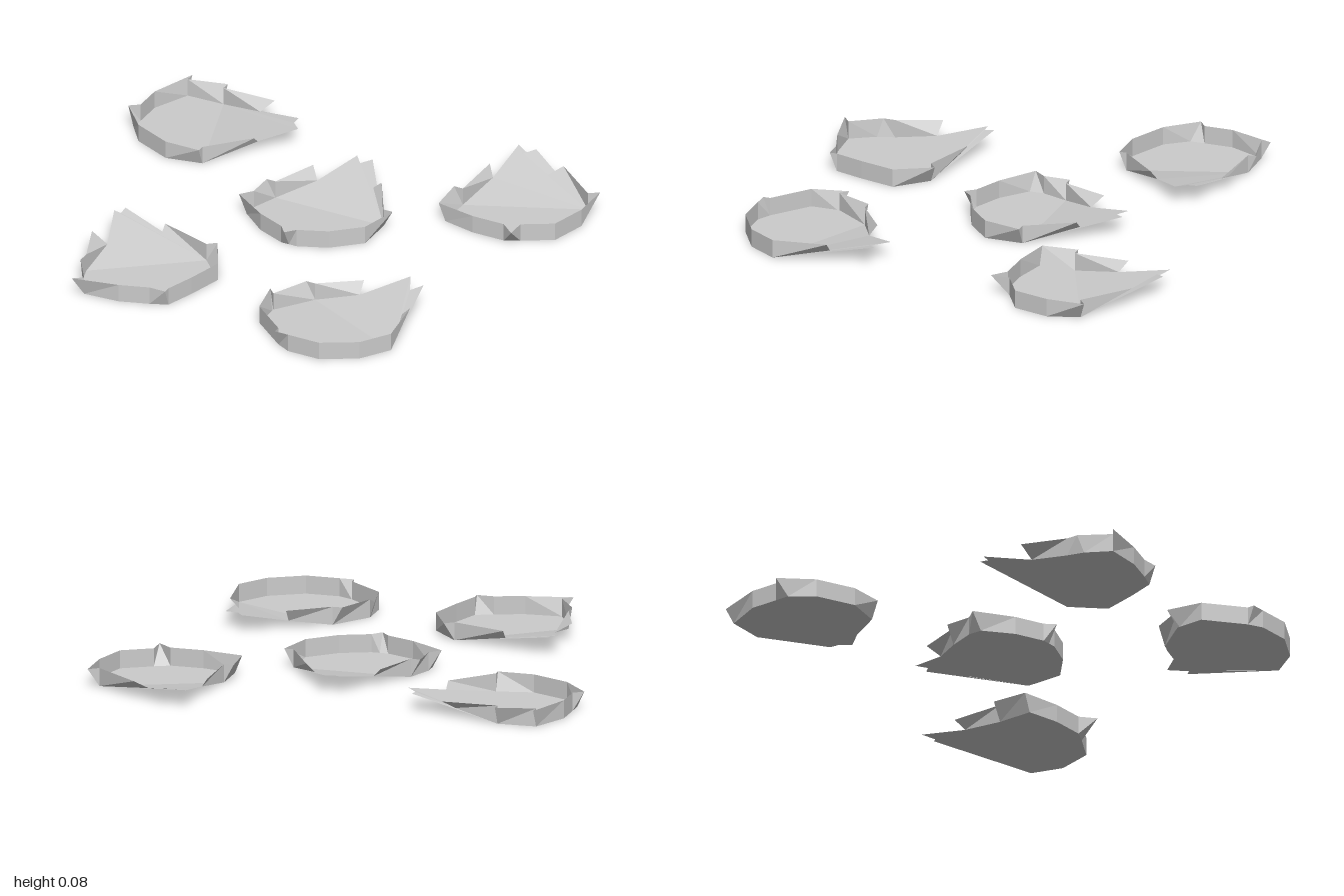
import * as THREE from 'three';

const RIM = 7.5; // rim height, in hundredths of a unit

// Outline points in hundredths, clockwise from above; the first is the floor's fan corner.
// [x, z]            floor corner with an upright wall
// [x, z, y]         corner where the floor has risen and no wall is left
// [x, z, y, tx, tz] floor corner whose wall leans out to a pointed tooth
const dishes = {
  centreDish: [
    [30, -18, 0, 34, -18], [30, -2], [19, 8], [7, 13], [3.5, 13, 0, 3.5, 17], [0, 13], [-12, 8],
    [-23, -1, 0, -27, -2], [-23, -7], [-19, -18, 0, -23, -18], [-19, -18],
    [-8, -33, 3.3, -12, -37], [-8, -33, 3.3], [0, -52, 7.5], [3, -48, 6.6], [7, -52, 7.5],
    [15, -37, 4], [15, -37, 4, 19, -37], [30, -18],
  ],
  frontRightDish: [
    [-19.5, 40, 0, -16, 37], [-8, 52], [-12, 67], [-16, 79], [-16, 79, 0, -16, 82], [-23, 82],
    [-35, 86], [-50, 87, 0, -54, 90], [-50, 87], [-56, 77, 0, -58, 75], [-58, 70],
    [-58, 52, 3.2, -65, 52], [-58, 52, 3.2], [-65, 33, 7.5], [-62, 33, 7], [-62, 29, 7.5],
    [-42, 36, 3.8], [-42, 36, 3.8, -42, 33], [-19.5, 40],
  ],
  frontLeftDish: [
    [80, 70], [72, 82], [58, 90], [44, 90], [38, 87, 0, 38, 90], [38, 87], [23, 75],
    [23, 64, 0, 20, 60], [23, 63], [34, 48, 0, 30, 48], [34, 48],
    [50, 40, 2.5, 50, 36.5], [50, 40, 2.5], [65, 25, 7.5], [69, 33, 6.2], [73, 29, 7.5],
    [73, 48, 3.4], [73, 48, 3.4, 77, 48], [80, 70],
  ],
  backLeftDish: [
    [96, -68, 0, 100, -71], [100, -55], [96, -40], [84, -33], [84, -33, 0, 84, -25], [78, -30],
    [64, -30], [50, -33, 0, 47, -33], [50, -48, 0, 46, -48], [50, -48],
    [53, -68, 3.3, 50, -71], [53, -68, 3.3], [53, -90, 7.5], [57, -86, 6.5], [61, -90, 7.5],
    [72, -79, 4], [72, -79, 4, 77, -83], [96, -68],
  ],
  backRightDish: [
    [-73, -75.5], [-54, -71, 3.8, -50, -76], [-54, -71, 3.8], [-35, -68, 7.4], [-35, -64, 7.2],
    [-31, -60, 7.5], [-43, -48, 4.5], [-43, -48, 4.5, -43, -45], [-58, -29], [-58, -29, 0, -58, -26],
    [-73, -26], [-89, -33], [-96, -42, 0, -100, -45], [-96, -48], [-96, -60],
    [-89, -75, 0, -89, -79], [-89, -75], [-73, -75.5, 0, -73, -79], [-73, -75.5],
  ],
};

function trianglesMesh(name, triangles, material) {
  const solid = triangles.filter((t) => new THREE.Triangle(...t).getArea() > 1e-7);
  const geometry = new THREE.BufferGeometry().setFromPoints(solid.flat());
  geometry.computeVertexNormals();
  const mesh = new THREE.Mesh(geometry, material);
  mesh.name = name;
  return mesh;
}

function makeDish(name, outline, material) {
  const point = (x, y, z) => new THREE.Vector3(x, y, z).divideScalar(100);
  const base = outline.map(([x, z, y = 0]) => point(x, y, z));
  const rim = outline.map((p) => {
    if (p.length === 5) return point(p[3], RIM, p[4]);
    return point(p[0], p.length === 3 ? p[2] : RIM, p[1]);
  });

  const floor = [];
  const wall = [];
  for (let i = 0; i < base.length; i++) {
    const j = (i + 1) % base.length;
    floor.push([base[0], base[j], base[i]]);
    wall.push([base[i], rim[i], base[j]], [base[j], rim[i], rim[j]]);
  }

  const dish = new THREE.Group();
  dish.name = name;
  dish.add(trianglesMesh('floor', floor, material), trianglesMesh('jaggedWall', wall, material));
  return dish;
}

export function createModel() {
  const model = new THREE.Group();
  model.name = 'jaggedDishes';
  const material = new THREE.MeshStandardMaterial({
    color: 0xcccccc, flatShading: true, side: THREE.DoubleSide,
  });
  for (const [name, outline] of Object.entries(dishes)) model.add(makeDish(name, outline, material));
  return model;
}
